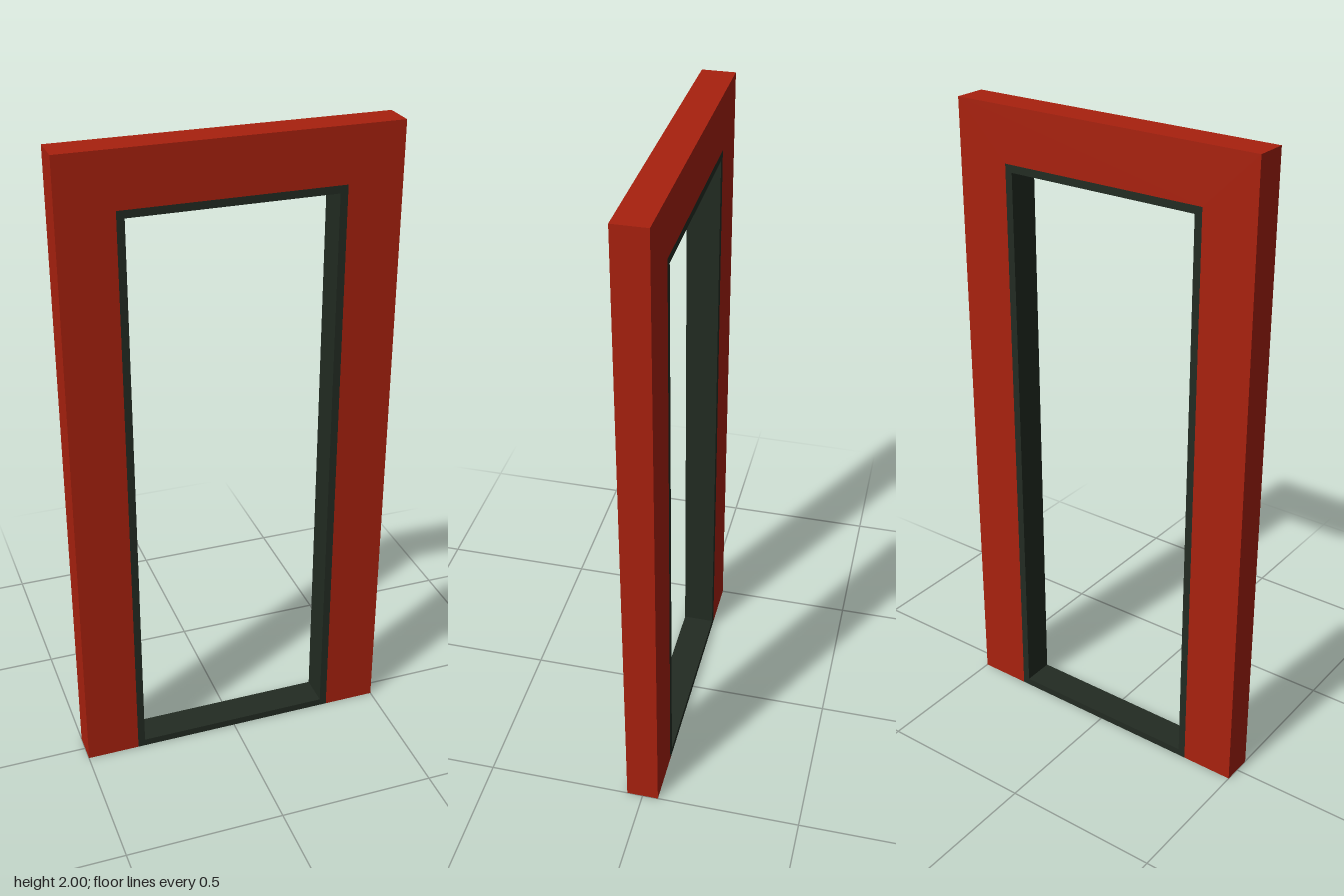
import * as THREE from 'three';

const DEPTH = 0.1;

// Closed polygon from corner points, as a shape or a hole path
const outline = (Type, pts) => new Type(pts.map(([x, y]) => new THREE.Vector2(x, y)));

// Rectangle corners, counter-clockwise
const rect = (halfWidth, bottom, top) => [
  [-halfWidth, bottom], [halfWidth, bottom], [halfWidth, top], [-halfWidth, top],
];

function panel(name, shape, material) {
  const geometry = new THREE.ExtrudeGeometry(shape, { depth: DEPTH, bevelEnabled: false });
  geometry.translate(0, 0, -DEPTH / 2);
  const mesh = new THREE.Mesh(geometry, material);
  mesh.name = name;
  return mesh;
}

export function createModel() {
  const red = new THREE.MeshStandardMaterial({ name: 'brick red', color: 0xa8210e });
  const dark = new THREE.MeshStandardMaterial({ name: 'dark green grey', color: 0x222b22 });
  const group = new THREE.Group();
  group.name = 'doorway';

  const openHalf = 0.333, openTop = 1.833, lining = 0.023;

  // Wall with a doorway cut up from the floor
  const wall = outline(THREE.Shape, [
    [-0.5, 0], [-openHalf, 0], [-openHalf, openTop], [openHalf, openTop],
    [openHalf, 0], [0.5, 0], [0.5, 2], [-0.5, 2],
  ]);
  group.add(panel('wall', wall, red));

  // Thin lining around the opening, including the sill
  const frame = outline(THREE.Shape, rect(openHalf, 0, openTop));
  frame.holes.push(outline(THREE.Path, rect(openHalf - lining, lining, openTop - lining)));
  group.add(panel('doorFrame', frame, dark));

  return group;
}
